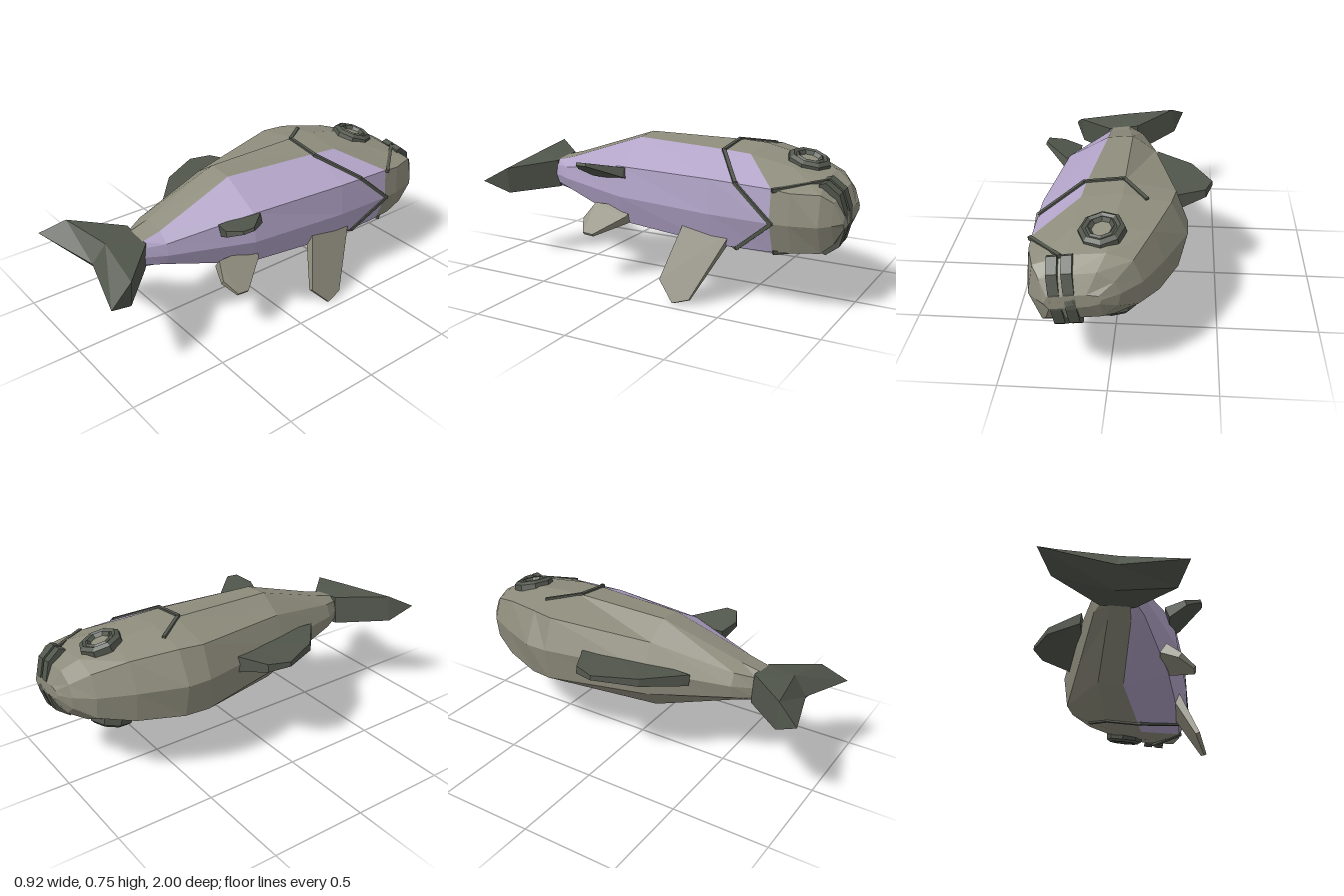
import * as THREE from 'three';

const mat = (name, color) => {
  const m = new THREE.MeshStandardMaterial({ color });
  m.name = name;
  return m;
};

// Faceted mesh from a list of polygons (each an array of [x, y, z], fanned)
function facets(name, material, polys) {
  const pos = [];
  for (const p of polys)
    for (let i = 1; i < p.length - 1; i++) pos.push(...p[0], ...p[i], ...p[i + 1]);
  const g = new THREE.BufferGeometry();
  g.setAttribute('position', new THREE.Float32BufferAttribute(pos, 3));
  g.computeVertexNormals();
  const mesh = new THREE.Mesh(g, material);
  mesh.name = name;
  return mesh;
}

// Tapered plate: outline points [s, z, halfThickness], s runs outward at the given angle
function fin(name, material, u, v, deg, outline) {
  const a = THREE.MathUtils.degToRad(deg), c = Math.cos(a), s = Math.sin(a);
  const cw = THREE.ShapeUtils.isClockWise(outline.map(p => new THREE.Vector2(p[0], p[1])));
  const pts = cw ? outline : [...outline].reverse();
  const at = (p, side) => [u + p[0] * c - side * p[2] * s, v + p[0] * s + side * p[2] * c, p[1]];
  const top = pts.map(p => at(p, 1)), bottom = pts.map(p => at(p, -1));
  const polys = [top, [...bottom].reverse()];
  pts.forEach((_, i) => {
    const j = (i + 1) % pts.length;
    polys.push([top[j], top[i], bottom[i], bottom[j]]);
  });
  return facets(name, material, polys);
}

// Thin strip joining two points
function strip(name, material, a, b, w) {
  const A = new THREE.Vector3(...a), B = new THREE.Vector3(...b);
  const mesh = new THREE.Mesh(new THREE.BoxGeometry(w, w, A.distanceTo(B) + w * 0.5), material);
  mesh.position.copy(A).lerp(B, 0.5);
  mesh.lookAt(B);
  mesh.name = name;
  return mesh;
}

export function createModel() {
  const skin = mat('greySkin', 0x8e8c7c);
  const belly = mat('lilacBelly', 0xb2a4c8);
  const dark = mat('darkFin', 0x51564c);

  const model = new THREE.Group();
  model.name = 'fish';
  const fish = new THREE.Group(); // lies on its side: back toward -x, belly toward +x
  fish.name = 'fishBody';
  fish.rotation.z = THREE.MathUtils.degToRad(-7);
  fish.position.set(0.03, 0.495, 0);
  model.add(fish);

  // Body sections: z, belly sweep, back u, four upper (u, v) corners, belly u
  const sections = [
    [0.67, 0, -0.07, [-0.06, 0.05], [-0.03, 0.075], [0.07, 0.075], [0.09, 0.05], 0.1],
    [0.57, 0, -0.13, [-0.11, 0.065], [-0.04, 0.1], [0.07, 0.1], [0.13, 0.06], 0.145],
    [0.15, 0, -0.25, [-0.21, 0.14], [-0.1, 0.235], [0.03, 0.24], [0.25, 0.15], 0.285],
    [-0.38, 0, -0.37, [-0.33, 0.166], [-0.095, 0.24], [0.09, 0.24], [0.31, 0.165], 0.34],
    [-0.5, -0.19, -0.37, [-0.31, 0.17], [-0.095, 0.235], [0.1, 0.235], [0.315, 0.155], 0.348],
    [-0.72, -0.06, -0.27, [-0.23, 0.15], [-0.06, 0.2], [0.12, 0.2], [0.315, 0.145], 0.345],
    [-0.88, -0.03, -0.18, [-0.15, 0.11], [-0.04, 0.155], [0.13, 0.16], [0.28, 0.14], 0.32],
    [-0.96, 0, -0.09, [-0.07, 0.06], [0, 0.11], [0.13, 0.11], [0.25, 0.1], 0.28],
    [-1.0, 0, -0.01, [0, 0.02], [0.05, 0.03], [0.13, 0.03], [0.22, 0.03], 0.24],
  ];
  const rings = sections.map(([z, sweep, back, d, t1, t2, b, bel]) => {
    const up = [[...d, z], [...t1, z], [...t2, z], [...b, z + sweep]];
    const low = up.map(([u, v, w]) => [u, -v, w]).reverse();
    return [[back, 0, z], ...up, [bel, 0, z + sweep], ...low];
  });
  const grey = [rings.at(-1)], lilac = [];
  for (let i = 0; i < rings.length - 1; i++)
    for (let j = 0; j < 10; j++) {
      const k = (j + 1) % 10;
      const quad = [rings[i][j], rings[i][k], rings[i + 1][k], rings[i + 1][j]];
      (i < 4 && j >= 3 && j <= 6 ? lilac : grey).push(quad);
    }
  fish.add(facets('back', skin, grey), facets('belly', belly, lilac));

  // Forked tail: upper half, mirrored to the lower half, plus its edges
  const T = {
    rl: [-0.075, 0.075, 0.66], rr: [0.09, 0.075, 0.66],
    ml: [-0.275, 0.07, 0.88], mc: [0.01, 0.09, 0.83], mr: [0.285, 0.07, 0.86],
    tl: [-0.333, 0, 1], n: [0.01, 0, 0.9], tr: [0.333, 0, 0.99],
  };
  const flip = p => [p[0], -p[1], p[2]];
  const half = [
    [T.rl, T.ml, T.mc], [T.rl, T.mc, T.rr], [T.rr, T.mc, T.mr],
    [T.ml, T.tl, T.n, T.mc], [T.mc, T.n, T.tr, T.mr],
  ];
  fish.add(facets('tail', dark, [
    ...half, ...half.map(p => p.map(flip).reverse()),
    [T.rl, flip(T.rl), flip(T.ml), T.ml], [T.ml, flip(T.ml), T.tl],
    [T.rr, T.mr, flip(T.mr), flip(T.rr)], [T.mr, T.tr, flip(T.mr)],
    [T.rl, T.rr, flip(T.rr), flip(T.rl)],
  ]));

  // Fins
  fish.add(fin('dorsalFin', dark, -0.2, 0, 180, [
    [0, -0.1, 0.045], [0.08, -0.2, 0.045], [0.26, -0.11, 0.02],
    [0.295, 0, 0.012], [0.19, 0.21, 0.02], [0, 0.38, 0.03],
  ]));
  for (const side of [1, -1])
    fish.add(fin('pelvicFin', side > 0 ? dark : skin, 0.22, side * 0.1, side * 28, [
      [0, 0.1, 0.03], [0.06, 0.12, 0.025], [0.19, 0.26, 0.008],
      [0.185, 0.32, 0.008], [0.1, 0.36, 0.015], [0, 0.33, 0.03],
    ]));
  fish.add(fin('pectoralFin', skin, 0.298, -0.13, -59.5, [
    [-0.03, -0.48, 0.025], [-0.03, -0.22, 0.025], [0.25, -0.145, 0.012],
    [0.35, -0.235, 0.007], [0.32, -0.32, 0.008],
  ]));

  // Lips wrapping across the snout
  const lip = [[0.165, -0.88], [0.175, -0.91], [0.125, -0.975], [0.04, -1.0]];
  const lipOutline = [...lip, ...lip.map(([v, z]) => [-v, z]).reverse()].map(p => [...p, 0.024]);
  fish.add(fin('upperLip', dark, 0.125, 0, 90, lipOutline));
  fish.add(fin('lowerLip', dark, 0.19, 0, 90, lipOutline));

  // Eyes, mouth corners and gill lines on both flanks
  const ring = [[0.108, -0.02], [0.105, 0.012], [0.085, 0.026], [0.07, 0.018], [0.06, 0.026], [0.045, 0.008], [0.045, -0.02]];
  const ringGeo = new THREE.LatheGeometry(ring.map(p => new THREE.Vector2(...p)), 8).toNonIndexed();
  ringGeo.computeVertexNormals();
  const gill = [[-0.2, 0.203, -0.51], [-0.09, 0.24, -0.36], [0.1, 0.24, -0.36], [0.31, 0.163, -0.51], [0.347, 0, -0.7]];
  for (const side of [1, -1]) {
    const eye = new THREE.Group();
    eye.name = 'eye';
    const rim = new THREE.Mesh(ringGeo, dark);
    rim.name = 'eyeRim';
    const pupil = new THREE.Mesh(new THREE.CylinderGeometry(0.046, 0.046, 0.009, 8), skin);
    pupil.name = 'eyeCentre';
    pupil.position.y = 0.004;
    eye.add(rim, pupil);
    eye.position.set(-0.015, side * 0.195, -0.75);
    eye.rotation.x = side > 0 ? -0.26 : Math.PI + 0.26;
    fish.add(eye);

    const m = p => [p[0], side * p[1], p[2]];
    fish.add(strip('mouthCorner', dark, m([0.16, 0.163, -0.89]), m([0.32, 0.152, -0.7]), 0.018));
    for (let i = 0; i < gill.length - 1; i++)
      fish.add(strip('gillLine', dark, m(gill[i]), m(gill[i + 1]), 0.018));
  }
  return model;
}
